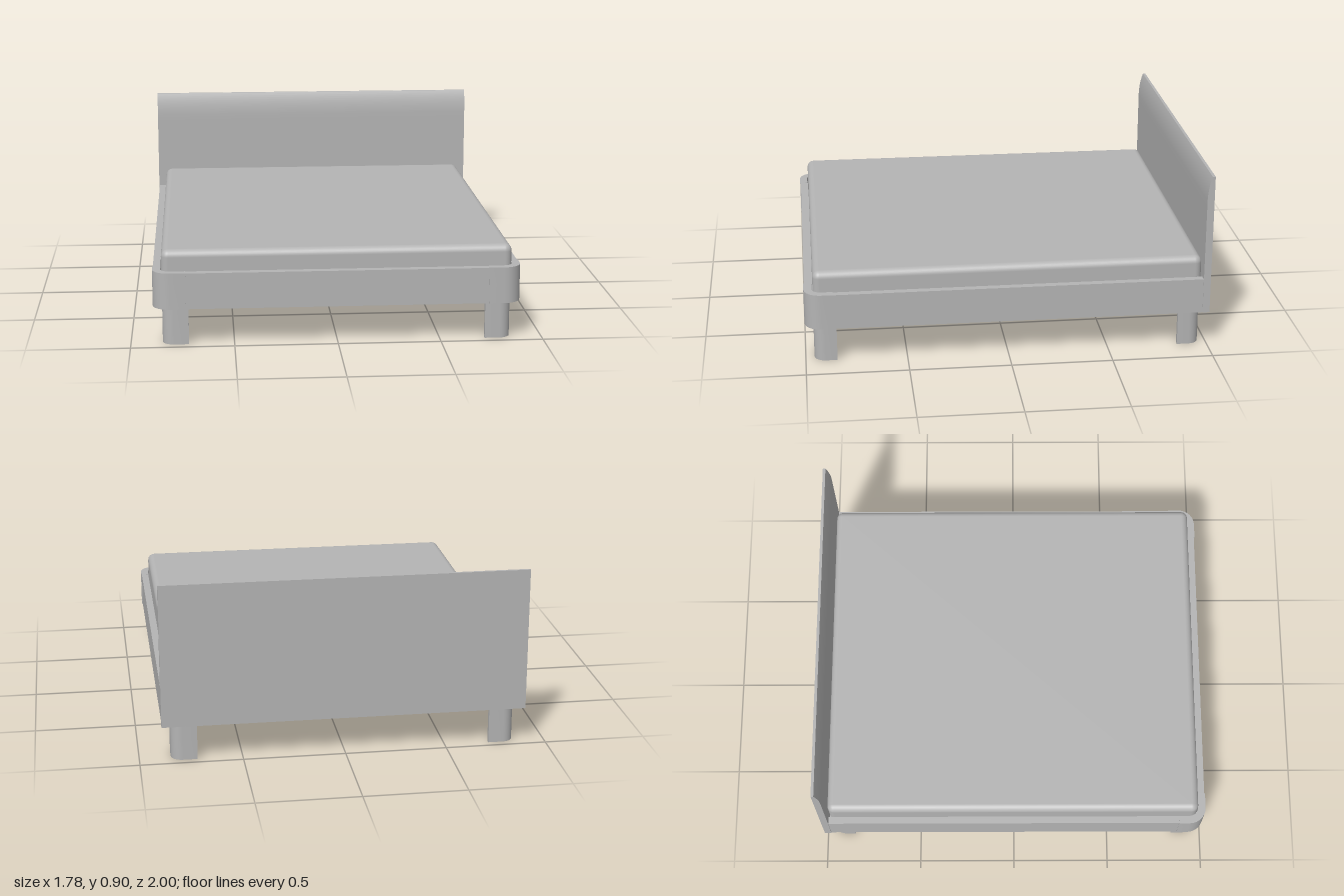
import * as THREE from 'three';
import { toCreasedNormals } from 'three/addons/utils/BufferGeometryUtils.js';
import { RoundedBoxGeometry } from 'three/addons/geometries/RoundedBoxGeometry.js';

const grey = new THREE.MeshStandardMaterial({ color: 0xb4b4b4 });
grey.name = 'plain grey';

export function createModel() {
  const bed = new THREE.Group();
  bed.name = 'bed';

  const add = (name, geometry, x = 0, y = 0, z = 0) => {
    const mesh = new THREE.Mesh(geometry, grey);
    mesh.name = name;
    mesh.position.set(x, y, z);
    bed.add(mesh);
    return mesh;
  };
  // Box given by its limits on each axis
  const box = (name, x0, x1, y0, y1, z0, z1) =>
    add(name, new THREE.BoxGeometry(x1 - x0, y1 - y0, z1 - z0), (x0 + x1) / 2, (y0 + y1) / 2, (z0 + z1) / 2);

  // Upright L-shaped channel with a rounded outer corner at (sx * X, sz * Z)
  const corner = (name, sx, sz, { X, Z, lx, lz, r, t, y0, y1 }) => {
    const pts = [[X - lx, Z]];
    const arc = (radius, reverse) => {
      for (let i = 0; i <= 8; i++) {
        const a = ((reverse ? i : 8 - i) / 8) * Math.PI / 2;
        pts.push([X - r + radius * Math.cos(a), Z - r + radius * Math.sin(a)]);
      }
    };
    arc(r, false);
    pts.push([X, Z - lz], [X - t, Z - lz]);
    arc(r - t, true);
    pts.push([X - lx, Z - t]);
    const shape = new THREE.Shape(pts.map(([x, z]) => new THREE.Vector2(x * sx, z * sz)));
    const g = new THREE.ExtrudeGeometry(shape, { depth: y1 - y0, bevelEnabled: false });
    g.rotateX(Math.PI / 2);
    add(name, toCreasedNormals(g, 0.5), 0, y1, 0);
  };

  // Headboard: side profile in (z, y) swept across the width
  const sweep = (name, shape) => {
    const g = new THREE.ExtrudeGeometry(shape, { depth: 1.784, bevelEnabled: false, curveSegments: 10 });
    g.translate(0, 0, -0.892);
    g.rotateY(-Math.PI / 2);
    add(name, toCreasedNormals(g, 0.5));
  };
  box('headboardPanel', -0.892, 0.892, 0.187, 0.745, -1, -0.965);
  const cap = new THREE.Shape();
  cap.moveTo(-1, 0.745);
  cap.lineTo(-0.965, 0.745);
  cap.lineTo(-0.965, 0.78);
  cap.quadraticCurveTo(-0.967, 0.85, -0.986, 0.9);
  cap.lineTo(-1, 0.9);
  sweep('headboardTop', cap);

  // Mattress
  add('mattress', new RoundedBoxGeometry(1.696, 0.195, 1.92, 4, 0.035), 0, 0.3695, -0.005);
  // Slab closing the frame from below
  box('baseBoard', -0.855, 0.855, 0.272, 0.29, -0.965, 0.96);

  // Frame rails
  box('footRail', -0.735, 0.735, 0.187, 0.364, 0.957, 0.996);
  for (const s of [-1, 1]) {
    const a = s * 0.853, b = s * 0.889;
    box('sideRail', Math.min(a, b), Math.max(a, b), 0.187, 0.364, -0.966, 0.862);

    // Rounded frame corner at the foot end
    corner('frameCorner', s, 1, { X: 0.892, Z: 1, lx: 0.16, lz: 0.14, r: 0.085, t: 0.04, y0: 0.187, y1: 0.366 });

    // Hollow legs
    for (const e of [-1, 1])
      corner('leg', s, e, { X: 0.847, Z: e > 0 ? 0.957 : 0.964, lx: 0.127, lz: 0.112, r: 0.055, t: 0.022, y0: 0, y1: 0.275 });

    // Small brackets under the base along the side rails
    for (const z of [-0.65, 0, 0.65]) {
      const p = s * 0.79, q = s * 0.853;
      box('bracket', Math.min(p, q), Math.max(p, q), 0.258, 0.273, z - 0.03, z + 0.03);
    }
  }

  // Centre beam with its support leg
  box('centreBeam', -0.03, 0.03, 0.225, 0.275, -0.965, 0.958);
  const post = [[0, 0], [0.027, 0], [0.027, 0.008], [0.016, 0.01], [0.016, 0.035], [0.021, 0.045], [0.021, 0.23]];
  const legGeometry = new THREE.LatheGeometry(post.map(([x, y]) => new THREE.Vector2(x, y)), 24);
  add('centreLeg', toCreasedNormals(legGeometry, 0.5));

  return bed;
}
